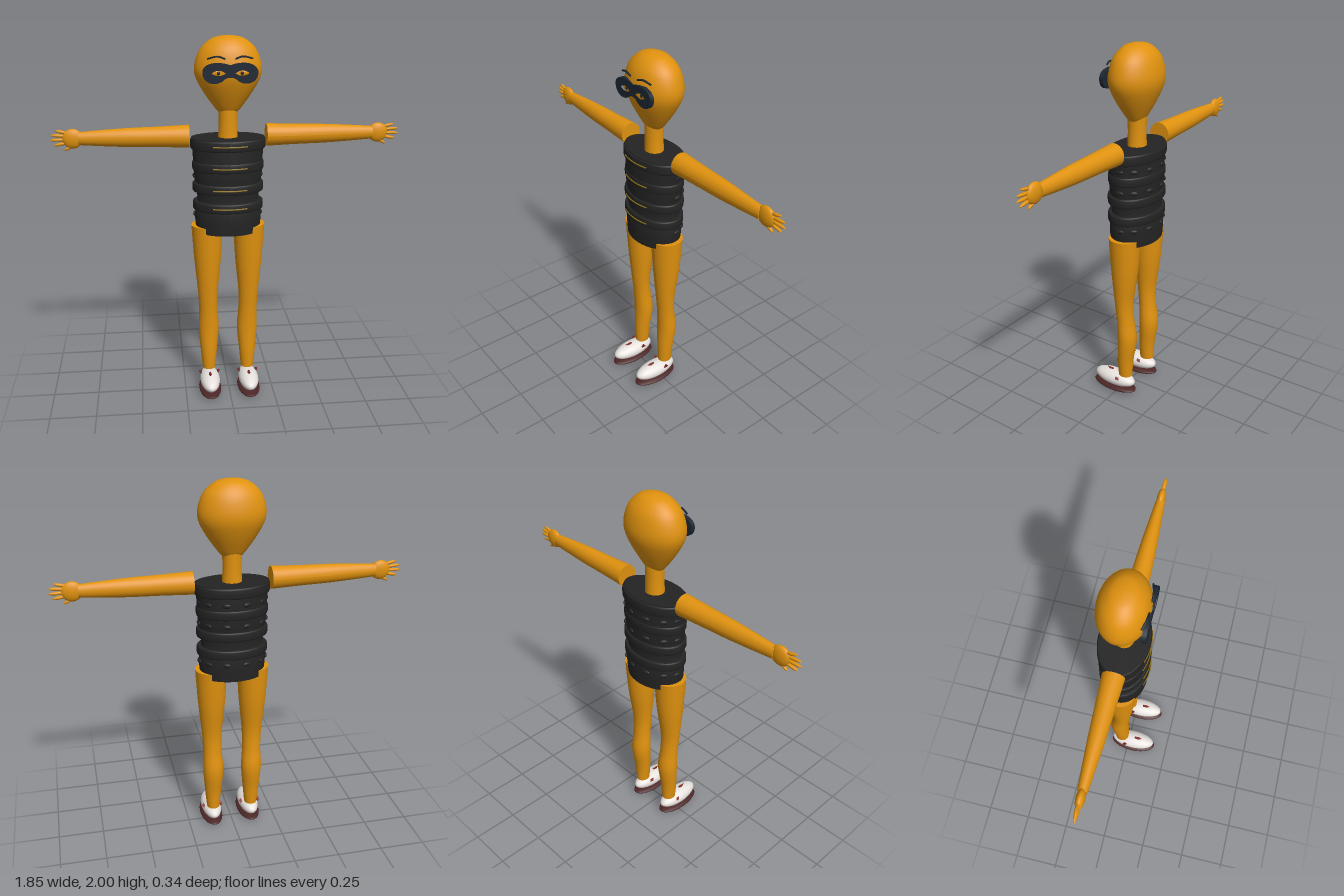
import * as THREE from 'three';

const mat = (name, color, side = THREE.FrontSide) => {
  const m = new THREE.MeshStandardMaterial({ color, side });
  m.name = name;
  return m;
};

// Smooth tapered body through rings [y, radiusX, radiusZ, centreX, centreZ], bottom to top
function loft(rings, sides = 32, steps = 5) {
  const n = (rings.length - 1) * steps;
  const geo = new THREE.CylinderGeometry(1, 1, 1, sides, n);
  const pos = geo.attributes.position;
  const at = (t, k) => {
    const f = t * (rings.length - 1);
    const i = Math.min(Math.floor(f), rings.length - 2);
    const u = f - i;
    const p = (j) => rings[Math.max(0, Math.min(rings.length - 1, j))][k] || 0;
    const [a, b, c, d] = [p(i - 1), p(i), p(i + 1), p(i + 2)];
    return b + 0.5 * u * (c - a + u * (2 * a - 5 * b + 4 * c - d + u * (3 * (b - c) + d - a)));
  };
  for (let i = 0; i < pos.count; i++) {
    const t = pos.getY(i) + 0.5;
    pos.setXYZ(i, pos.getX(i) * at(t, 1) + at(t, 3), at(t, 0), pos.getZ(i) * at(t, 2) + at(t, 4));
  }
  geo.computeVertexNormals();
  return geo;
}

export function createModel() {
  const root = new THREE.Group();
  root.name = 'figure';
  const skin = mat('orange skin', 0xe0920f);
  const black = mat('black vest', 0x242424);
  const navy = mat('dark navy mask', 0x1e2733);
  const white = mat('white shoe', 0xe8e3df);
  const brown = mat('dark brown sole', 0x4c2626);
  const red = mat('red shoe trim', 0x8a302b);
  const gold = mat('dull gold trim', 0x8c7016);
  const cz = -0.04;

  const add = (parent, name, geo, material, x = 0, y = 0, z = 0) => {
    const m = new THREE.Mesh(geo, material);
    m.name = name;
    m.position.set(x, y, z);
    parent.add(m);
    return m;
  };
  const ball = (rx, ry, rz) => new THREE.SphereGeometry(1, 28, 18).scale(rx, ry, rz);

  // Head and neck
  const headProfile = new THREE.SplineCurve([
    [0, 1.6], [0.045, 1.605], [0.092, 1.66], [0.142, 1.735], [0.172, 1.8],
    [0.172, 1.86], [0.145, 1.93], [0.095, 1.977], [0.05, 1.994], [0, 2]
  ].map((p) => new THREE.Vector2(...p))).getPoints(36);
  headProfile.forEach((p) => { p.x = Math.max(0, p.x); });
  add(root, 'head', new THREE.LatheGeometry(headProfile, 40).scale(1, 1, 0.735), skin, 0, 0, -0.038);
  add(root, 'neck', loft([[1.45, 0.054, 0.05], [1.54, 0.049, 0.048], [1.63, 0.051, 0.049]]), skin, 0, 0, cz);

  // Mask plate with two almond eye holes
  const mask = new THREE.Shape();
  mask.moveTo(0, 0.04);
  mask.bezierCurveTo(0.06, 0.062, 0.14, 0.05, 0.14, 0.004);
  mask.bezierCurveTo(0.14, -0.06, 0.06, -0.065, 0.03, -0.03);
  mask.quadraticCurveTo(0, -0.012, -0.03, -0.03);
  mask.bezierCurveTo(-0.06, -0.065, -0.14, -0.06, -0.14, 0.004);
  mask.bezierCurveTo(-0.14, 0.05, -0.06, 0.062, 0, 0.04);
  for (const s of [-1, 1]) {
    const eye = new THREE.Path();
    eye.moveTo(s * 0.06 - 0.036, 0);
    eye.quadraticCurveTo(s * 0.06, 0.028, s * 0.06 + 0.036, 0);
    eye.quadraticCurveTo(s * 0.06, -0.024, s * 0.06 - 0.036, 0);
    mask.holes.push(eye);
  }
  add(root, 'mask', new THREE.ExtrudeGeometry(mask, { depth: 0.022, bevelEnabled: false, curveSegments: 16 }),
    navy, 0, 1.823, 0.071);

  // Eyes and brows
  for (const s of [-1, 1]) {
    add(root, 'eye', ball(0.034, 0.016, 0.008), skin, s * 0.06, 1.823, 0.078);
    add(root, 'pupil', ball(0.009, 0.009, 0.004), navy, s * 0.06, 1.823, 0.0845);
    const brow = new THREE.CatmullRomCurve3([
      new THREE.Vector3(s * 0.025, 1.893, 0.082),
      new THREE.Vector3(s * 0.065, 1.905, 0.08),
      new THREE.Vector3(s * 0.115, 1.893, 0.067)
    ]);
    add(root, 'eyebrow', new THREE.TubeGeometry(brow, 14, 0.005, 6), navy);
  }

  // Vest body
  add(root, 'vestBody', loft([
    [0.955, 0.172, 0.122], [1.05, 0.18, 0.124], [1.15, 0.166, 0.115],
    [1.27, 0.182, 0.123], [1.37, 0.186, 0.123], [1.475, 0.196, 0.118]
  ], 40), black, 0, 0, cz);

  // Raised bands with a gold line on the front of each
  const bands = [[1.443, 0.2, 0.131, 0.028], [1.325, 0.191, 0.128, 0.025],
    [1.208, 0.191, 0.132, 0.025], [1.107, 0.19, 0.132, 0.025]];
  for (const [y, rx, rz, h] of bands) {
    add(root, 'vestBand', loft([
      [-h, rx - 0.006, rz - 0.006], [-h * 0.7, rx, rz], [h * 0.7, rx, rz], [h, rx - 0.006, rz - 0.006]
    ], 40, 2), black, 0, y, cz);
    const line = new THREE.CatmullRomCurve3([-1, -0.5, 0, 0.5, 1].map((t) => {
      const x = t * 0.09;
      return new THREE.Vector3(x, y, cz + rz * Math.sqrt(1 - (x / rx) ** 2) + 0.001);
    }));
    add(root, 'vestTrim', new THREE.TubeGeometry(line, 16, 0.004, 6), gold);
  }

  // Small padded lumps round the sides and back
  for (const y of [1.38, 1.265, 1.05]) {
    for (const a of [-1.45, -0.9, -0.3, 0.3, 0.9, 1.45]) {
      const lump = add(root, 'vestPad', ball(0.022, 0.012, 0.008), black,
        Math.sin(a) * 0.182, y, cz - Math.cos(a) * 0.124);
      lump.rotation.y = -a;
    }
  }

  // Arms: built along +x, turned half round for the other side
  for (const s of [-1, 1]) {
    const arm = new THREE.Group();
    arm.name = s > 0 ? 'leftArm' : 'rightArm';
    arm.position.set(0, 1.48, -0.044);
    arm.rotation.y = s > 0 ? 0 : Math.PI;
    root.add(arm);
    add(arm, 'sleeveArm', loft([
      [0.205, 0.06, 0.058], [0.36, 0.054, 0.05], [0.52, 0.05, 0.043], [0.65, 0.043, 0.034], [0.78, 0.034, 0.025]
    ]).rotateZ(-Math.PI / 2), skin);
    add(arm, 'palm', ball(0.054, 0.052, 0.023), skin, 0.81, 0, 0);
    // Four fingers and a thumb: [start x, start y, end x, end y]
    const fingers = [[0.83, 0.028, 0.897, 0.044], [0.84, 0.014, 0.922, 0.02],
      [0.84, -0.004, 0.926, -0.006], [0.83, -0.02, 0.908, -0.034], [0.8, -0.03, 0.856, -0.062]];
    for (const [x0, y0, x1, y1] of fingers) {
      const len = Math.hypot(x1 - x0, y1 - y0);
      const f = add(arm, 'finger', ball(len / 2, 0.0085, 0.009), skin, (x0 + x1) / 2, (y0 + y1) / 2, 0);
      f.rotation.z = Math.atan2(y1 - y0, x1 - x0);
    }
  }

  // Legs and shoes
  for (const s of [-1, 1]) {
    const leg = new THREE.Group();
    leg.name = s > 0 ? 'leftLeg' : 'rightLeg';
    root.add(leg);
    add(leg, 'legBody', loft([
      [0.115, 0.036, 0.04, 0.111, -0.04], [0.22, 0.046, 0.045, 0.111, -0.042],
      [0.36, 0.057, 0.053, 0.11, -0.052], [0.48, 0.052, 0.048, 0.112, -0.042],
      [0.6, 0.056, 0.052, 0.114, -0.035], [0.79, 0.074, 0.073, 0.114, -0.039],
      [0.99, 0.086, 0.086, 0.115, -0.04]
    ].map((r) => [r[0], r[1], r[2], r[3] * s, r[4]])), skin);
    add(leg, 'shoe', ball(0.056, 0.046, 0.132), white, s * 0.111, 0.072, 0.032);
    add(leg, 'sole', ball(0.063, 0.019, 0.138), brown, s * 0.111, 0.022, 0.033);
    // Pointed trims on the instep and both sides
    const tip = add(leg, 'shoeTrim', new THREE.ConeGeometry(0.016, 0.045, 4), red, s * 0.111, 0.116, 0.068);
    tip.rotation.x = 1.25;
    for (const side of [-1, 1]) {
      const fin = add(leg, 'shoeTrim', new THREE.ConeGeometry(0.016, 0.035, 4), red,
        s * 0.111 + side * 0.047, 0.09, -0.005);
      fin.rotation.set(2.4, 0, side * 0.3);
      fin.scale.x = 0.6;
    }
  }

  return root;
}
